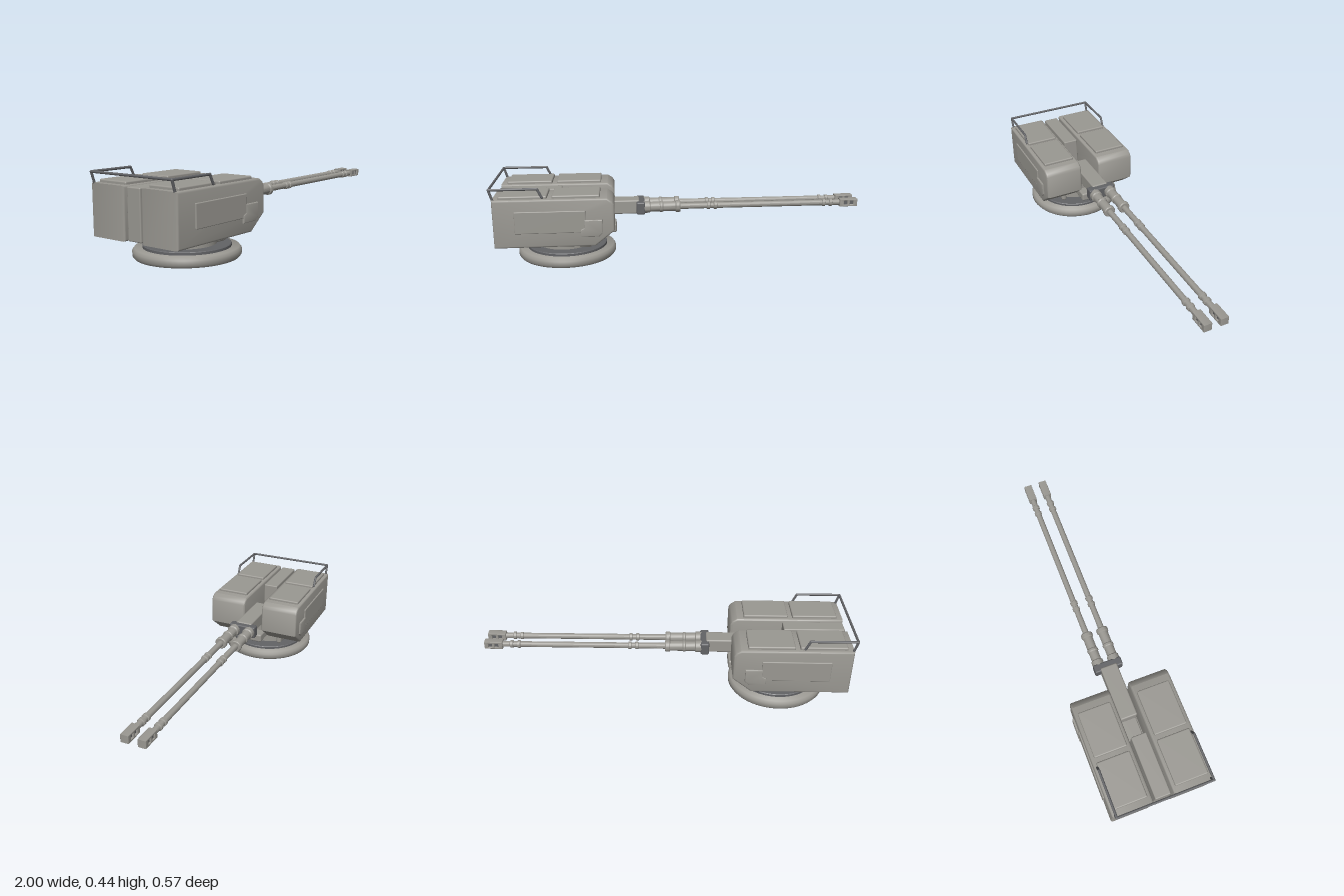
import * as THREE from 'three';
import { toCreasedNormals } from 'three/addons/utils/BufferGeometryUtils.js';
import { RoundedBoxGeometry } from 'three/addons/geometries/RoundedBoxGeometry.js';

const grey = new THREE.MeshStandardMaterial({ color: 0x9a9892 });
const dark = new THREE.MeshStandardMaterial({ color: 0x626366 });

function add(parent, name, geometry, material = grey) {
  const mesh = new THREE.Mesh(geometry, material);
  mesh.name = name;
  parent.add(mesh);
  return mesh;
}

// Rounded box given by its limits on each axis
function box(parent, name, [x0, x1], [y0, y1], [z0, z1], r = 0.006, material = grey) {
  const geo = new RoundedBoxGeometry(x1 - x0, y1 - y0, z1 - z0, 2, r);
  geo.translate((x0 + x1) / 2, (y0 + y1) / 2, (z0 + z1) / 2);
  return add(parent, name, geo, material);
}

// Side outline in x/y, extruded from z0 to z1 with rounded edges
function slab(parent, name, points, z0, z1, bevel, holes = []) {
  const toPoints = list => list.map(p => new THREE.Vector2(...p));
  const shape = new THREE.Shape(toPoints(points));
  shape.holes = holes.map(h => new THREE.Path(toPoints(h)));
  const geo = new THREE.ExtrudeGeometry(shape, {
    depth: z1 - z0 - 2 * bevel, bevelSize: bevel, bevelThickness: bevel,
    bevelOffset: -bevel, bevelSegments: 3,
  });
  geo.translate(0, 0, z0 + bevel);
  return add(parent, name, toCreasedNormals(geo, 0.6));
}

function lathe(points, sides, crease = 0.5) {
  const geo = new THREE.LatheGeometry(points.map(p => new THREE.Vector2(...p)), sides);
  return toCreasedNormals(geo, crease);
}

function rect(x0, x1, y0, y1) {
  return [[x0, y0], [x1, y0], [x1, y1], [x0, y1]];
}

// Round bars along a polyline, with ball joints
function bars(parent, name, points, radius, material) {
  const group = new THREE.Group();
  group.name = name;
  const pts = points.map(p => new THREE.Vector3(...p));
  pts.forEach((p, i) => {
    add(group, 'joint', new THREE.SphereGeometry(radius, 10, 8), material).position.copy(p);
    if (i === 0) return;
    const path = new THREE.LineCurve3(pts[i - 1], p);
    add(group, 'bar', new THREE.TubeGeometry(path, 1, radius, 10), material);
  });
  parent.add(group);
}

export function createModel() {
  const model = new THREE.Group();
  model.name = 'gunTurret';
  const cx = -0.628;

  // Turntable: foot disc, dark ring, neck
  const foot = [[0, 0], [0.257, 0], [0.267, 0.013], [0.267, 0.037], [0.257, 0.05], [0, 0.05]];
  add(model, 'footDisc', lathe(foot, 64, 0.95)).position.x = cx;
  const ring = [[0, 0.048], [0.218, 0.048], [0.218, 0.062], [0.215, 0.065], [0, 0.065]];
  add(model, 'bearingRing', lathe(ring, 64), dark).position.x = cx;
  const neck = [[0, 0.06], [0.151, 0.06], [0.151, 0.16], [0, 0.16]];
  add(model, 'neck', lathe(neck, 48)).position.x = cx - 0.01;

  // Centre section between the two housings
  box(model, 'rearSpine', [-0.975, -0.645], [0.126, 0.376], [-0.042, 0.042]);
  box(model, 'centreBody', [-0.94, -0.42], [0.13, 0.23], [-0.042, 0.042]);
  box(model, 'lowerBlock', [-0.6, -0.353], [0.123, 0.172], [-0.058, 0.058], 0.01);
  box(model, 'gunCradle', [-0.53, -0.225], [0.225, 0.302], [-0.047, 0.047], 0.008);
  box(model, 'gunYoke', [-0.242, -0.195], [0.228, 0.296], [-0.079, 0.079], 0.008, dark);

  const housing = [[-0.982, 0.122], [-0.463, 0.122], [-0.362, 0.203], [-0.362, 0.343],
    [-0.372, 0.361], [-0.398, 0.378], [-0.982, 0.378]];
  const cover = [[-0.537, 0.176], [-0.445, 0.176], [-0.425, 0.195], [-0.425, 0.266],
    [-0.517, 0.266], [-0.517, 0.225], [-0.537, 0.215]];

  // Barrel profile: radius, distance along x
  const barrel = [[0, -0.21], [0.033, -0.21], [0.033, -0.17], [0.027, -0.165], [0.027, -0.115],
    [0.031, -0.11], [0.031, -0.1], [0.027, -0.095], [0.027, -0.028], [0.033, -0.024],
    [0.033, -0.006], [0.029, 0], [0.017, 0]];
  for (const x of [0.157, 0.195, 0.81, 0.85]) {
    barrel.push([0.016, x - 0.01], [0.021, x - 0.007], [0.021, x + 0.007], [0.016, x + 0.01]);
  }
  barrel.push([0.016, 0.91], [0, 0.91]);

  for (const s of [1, -1]) {
    const side = s > 0 ? 'left' : 'right';
    const span = (a, b) => (s > 0 ? [a, b] : [-b, -a]);

    // Armoured housing with roof plates and side fittings
    slab(model, side + 'Housing', housing, ...span(0.055, 0.273), 0.01);
    for (const x of [-0.95, -0.68]) {
      box(model, side + 'RoofPlate', [x, x + 0.245], [0.365, 0.393], span(0.074, 0.253), 0.007);
    }
    box(model, side + 'SidePanel', [-0.872, -0.51], [0.2, 0.317], span(0.26, 0.28), 0.004);
    slab(model, side + 'SideCover', cover, ...span(0.262, 0.283), 0.004);

    // Support leg under the housing
    box(model, side + 'Support', [-0.556, -0.487], [0.068, 0.14], span(0.107, 0.137), 0.012);

    // Gun barrel and slotted muzzle around a dark core
    const gun = new THREE.Group();
    gun.name = side + 'Gun';
    gun.position.set(0, 0.263, s * 0.045);
    add(gun, 'barrel', lathe(barrel, 24).rotateZ(-Math.PI / 2));
    slab(gun, 'muzzle', rect(0.9, 1, -0.021, 0.021), -0.022, 0.022, 0.003,
      [rect(0.923, 0.943, -0.011, 0.011), rect(0.957, 0.977, -0.011, 0.011)]);
    box(gun, 'muzzleCore', [0.905, 0.99], [-0.015, 0.015], [-0.014, 0.014], 0.003, dark);
    model.add(gun);
  }

  // Guard rail around the rear of the roof
  const z = 0.256;
  bars(model, 'guardRail', [
    [-0.728, 0.385, z], [-0.75, 0.431, z], [-0.993, 0.431, z], [-0.976, 0.375, z],
    [-0.993, 0.431, z], [-0.993, 0.431, -z], [-0.976, 0.375, -z],
    [-0.993, 0.431, -z], [-0.75, 0.431, -z], [-0.728, 0.385, -z],
  ], 0.0065, dark);

  return model;
}
